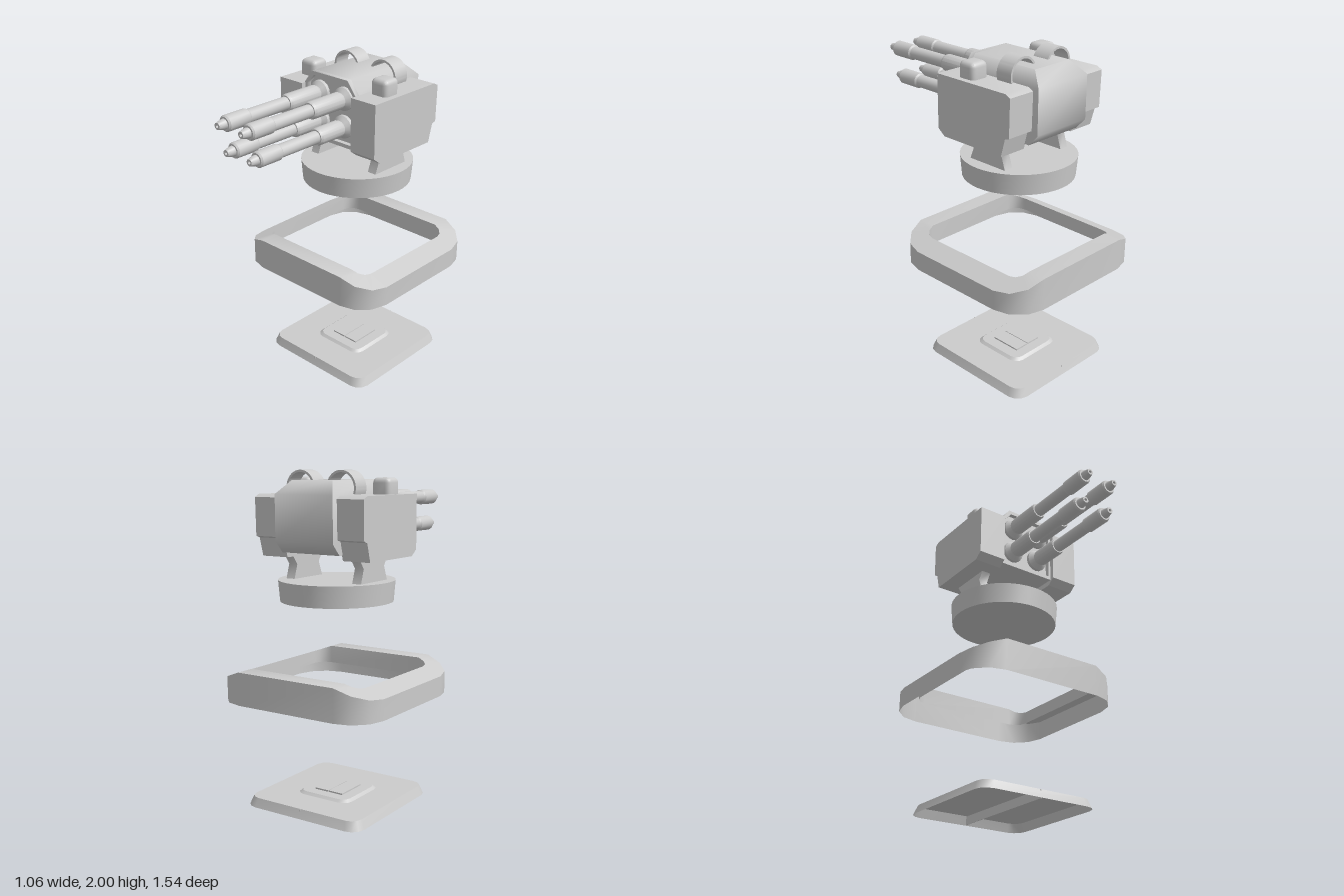
import * as THREE from 'three';
import { toCreasedNormals } from 'three/addons/utils/BufferGeometryUtils.js';
import { RoundedBoxGeometry } from 'three/addons/geometries/RoundedBoxGeometry.js';

const grey = new THREE.MeshStandardMaterial({ color: 0xcccccc, side: THREE.DoubleSide });
const V = (x, y, z) => new THREE.Vector3(x, y, z);

// Horizontal rounded rectangle; y may be a number or a function of x
function ring(hx, hz, r, y, seg = 3) {
  const pts = [];
  [[1, 1], [-1, 1], [-1, -1], [1, -1]].forEach(([sx, sz], c) => {
    for (let i = 0; i <= seg; i++) {
      const a = (c + i / seg) * Math.PI / 2;
      const x = sx * (hx - r) + r * Math.cos(a);
      pts.push(V(x, typeof y === 'function' ? y(x) : y, sz * (hz - r) + r * Math.sin(a)));
    }
  });
  return pts;
}

// Skin through cross-sections listed from bottom to top
function loft(rings) {
  const pos = [];
  for (let k = 0; k + 1 < rings.length; k++) {
    const b = rings[k], t = rings[k + 1], n = b.length;
    for (let i = 0; i < n; i++) {
      const j = (i + 1) % n;
      for (const p of [b[i], t[i], b[j], t[i], t[j], b[j]]) pos.push(p.x, p.y, p.z);
    }
  }
  const g = new THREE.BufferGeometry();
  g.setAttribute('position', new THREE.Float32BufferAttribute(pos, 3));
  return g;
}

// A ring collapsed to one point, used to close a loft
const closeAt = (n, x, y, z) => Array.from({ length: n }, () => V(x, y, z));

function add(parent, name, geo, x = 0, y = 0, z = 0, crease = 0.5) {
  const m = new THREE.Mesh(toCreasedNormals(geo, crease), grey);
  m.name = name;
  m.position.set(x, y, z);
  parent.add(m);
}

const shapeOf = pts => new THREE.Shape(pts.map(p => new THREE.Vector2(...p)));
const extrude = (shape, depth) => new THREE.ExtrudeGeometry(shape, { depth, bevelEnabled: false, curveSegments: 16 });

// Extrude a (z, y) side profile from x0 to x1
function sideExtrude(pts, x0, x1) {
  return extrude(shapeOf(pts), x1 - x0).rotateY(-Math.PI / 2).translate(x1, 0, 0);
}

function basePlate() {
  const g = new THREE.Group();
  g.name = 'basePlate';
  g.position.z = -0.25;
  // Hollow tray, open underneath, with a dividing wall along the middle
  add(g, 'plateShell', loft([ring(0.407, 0.405, 0.08, 0), ring(0.385, 0.385, 0.07, 0.055), closeAt(16, 0, 0.055, 0)]));
  add(g, 'dividingWall', new THREE.BoxGeometry(0.004, 0.054, 0.78), 0, 0.027, 0);
  // Raised step and split hatch
  add(g, 'raisedStep', loft([ring(0.187, 0.182, 0.06, 0.055), ring(0.17, 0.165, 0.05, 0.07), closeAt(16, 0, 0.07, 0)]));
  for (const s of [1, -1])
    add(g, 'hatchHalf', new THREE.BoxGeometry(0.098, 0.016, 0.2), s * 0.051, 0.071, 0);
  return g;
}

function collar() {
  const g = new THREE.Group();
  g.name = 'collar';
  g.position.z = -0.25;
  const top = x => 0.855 - Math.max(0, Math.abs(x) - 0.33) * 0.375;
  // Outer wall, sloped top and an inner lip with a level bottom; open underneath
  add(g, 'collarShell', loft([
    ring(0.532, 0.52, 0.2, 0.657), ring(0.532, 0.52, 0.2, top),
    ring(0.41, 0.405, 0.08, top), ring(0.41, 0.405, 0.08, 0.745)]), 0, 0, 0, 0.55);
  return g;
}

// Stepped barrel pointing along +z; the tip position varies
function gun(parent, x, y, tip) {
  const pts = [[0, -0.03], [0.07, -0.03], [0.07, -0.01], [0.045, 0.015], [0.052, 0.03],
    [0.052, tip - 0.52], [0.046, tip - 0.505], [0.039, tip - 0.505], [0.039, tip - 0.215],
    [0.047, tip - 0.205], [0.047, tip - 0.06], [0.04, tip - 0.05], [0.03, tip - 0.05],
    [0.028, tip - 0.03], [0.02, tip], [0.01, tip], [0, tip - 0.02]];
  const geo = new THREE.LatheGeometry(pts.map(p => new THREE.Vector2(...p)), 16).rotateX(Math.PI / 2);
  add(parent, 'gunBarrel', geo, x, y, 0);
}

function turret() {
  const g = new THREE.Group();
  g.name = 'turret';
  add(g, 'turntable', new THREE.CylinderGeometry(0.348, 0.337, 0.127, 40), 0, 1.3015, -0.25);

  // Central housing as a stack of rectangles, softly bevelled at the top and rear
  const slab = (h, y, zf, zb) => [V(h, y, zb), V(h, y, zf), V(-h, y, zf), V(-h, y, zb)];
  add(g, 'housing', loft([closeAt(4, 0, 1.532, -0.25), slab(0.2, 1.532, -0.03, -0.51),
    slab(0.2, 1.6, -0.03, -0.573), slab(0.2, 1.865, -0.03, -0.573),
    slab(0.14, 1.943, -0.03, -0.49), closeAt(4, 0, 1.943, -0.25)]), 0, 0, 0, 1);
  // Raised rim around the recessed front panel
  const rim = shapeOf([[-0.2, 1.532], [0.2, 1.532], [0.2, 1.865], [0.14, 1.943], [-0.14, 1.943], [-0.2, 1.865]]);
  rim.holes.push(new THREE.Path([[-0.18, 1.555], [-0.18, 1.86], [-0.125, 1.92], [0.125, 1.92], [0.18, 1.86], [0.18, 1.555]]
    .map(p => new THREE.Vector2(...p))));
  add(g, 'frontRim', extrude(rim, 0.03), 0, 0, -0.03, 1);

  const pod = [[0.03, 1.538], [0.03, 1.862], [-0.5, 1.862], [-0.535, 1.845], [-0.53, 1.62],
    [-0.5, 1.61], [-0.47, 1.5], [-0.02, 1.5]];
  const leg = [[-0.115, 1.36], [-0.15, 1.45], [-0.11, 1.51], [-0.41, 1.51], [-0.365, 1.45], [-0.395, 1.36]];
  for (const s of [1, -1]) {
    const span = (a, b) => s > 0 ? [a, b] : [-b, -a];
    add(g, 'sidePod', sideExtrude(pod, ...span(0.195, 0.376)));
    add(g, 'supportLeg', sideExtrude(leg, ...span(0.205, 0.265)), 0, 0, 0, 1);
    add(g, 'podSensor', new RoundedBoxGeometry(0.12, 0.14, 0.12, 3, 0.03), s * 0.28, 1.887, -0.16, 0.7);
    // Thin arched band from the roof to the pod
    const a0 = s > 0 ? -0.35 : Math.PI - 2.85, a1 = s > 0 ? 2.85 : Math.PI + 0.35;
    const arch = new THREE.Shape().absarc(0, 0, 0.1, a0, a1, false);
    arch.absarc(0, 0, 0.087, a1, a0, true);
    add(g, 'feedArch', extrude(arch, 0.107), s * 0.142, 1.9, -0.41);
    gun(g, s * 0.094, 1.821, 0.77);
    gun(g, s * 0.094, 1.651, 0.72);
  }
  return g;
}

export function createModel() {
  const model = new THREE.Group();
  model.name = 'quadGunEmplacement';
  model.add(basePlate(), collar(), turret());
  return model;
}
